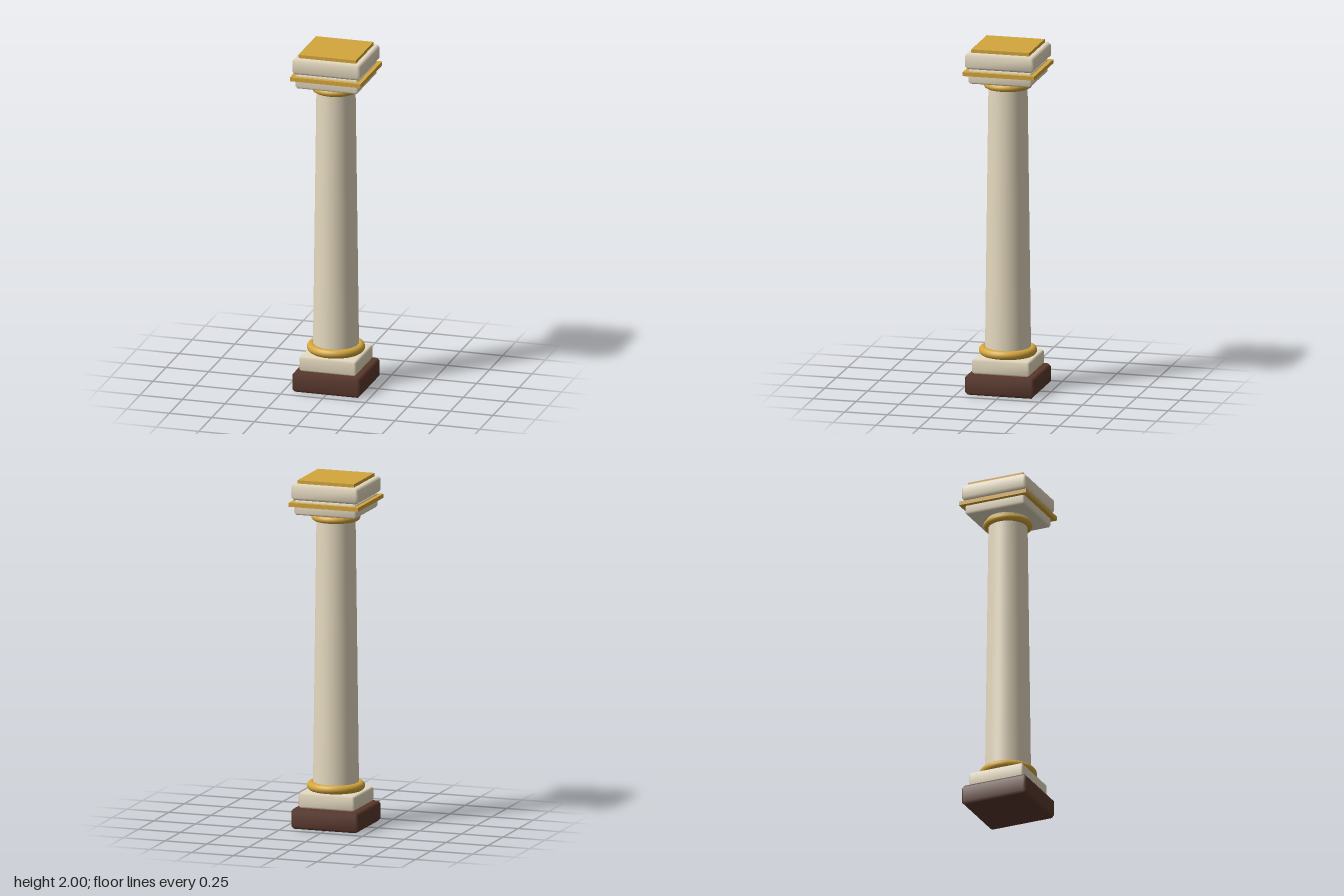
import * as THREE from 'three';
import { mergeVertices } from 'three/addons/utils/BufferGeometryUtils.js';
import { ConvexGeometry } from 'three/addons/geometries/ConvexGeometry.js';

const stone = new THREE.MeshStandardMaterial({ color: 0xe6dac0 });
const gold = new THREE.MeshStandardMaterial({ color: 0xd4a63c });
const wood = new THREE.MeshStandardMaterial({ color: 0x5a382c });

// Square block with chamfered edges and corners, shaded smoothly
function chamferedBlock(half, height, c) {
  const h = height / 2;
  const points = [];
  for (const x of [-1, 1]) for (const y of [-1, 1]) for (const z of [-1, 1]) {
    points.push(
      new THREE.Vector3(x * half, y * (h - c), z * (half - c)),
      new THREE.Vector3(x * (half - c), y * h, z * (half - c)),
      new THREE.Vector3(x * (half - c), y * (h - c), z * half)
    );
  }
  let geometry = new ConvexGeometry(points);
  geometry.deleteAttribute('normal');
  geometry = mergeVertices(geometry, 1e-5);
  geometry.computeVertexNormals();
  return geometry;
}

export function createModel() {
  const group = new THREE.Group();
  const add = (name, geometry, material, y) => {
    const mesh = new THREE.Mesh(geometry, material);
    mesh.name = name;
    mesh.position.y = y;
    group.add(mesh);
  };
  const block = (name, half, y0, y1, chamfer, material) =>
    add(name, chamferedBlock(half, y1 - y0, chamfer), material, (y0 + y1) / 2);
  const slab = (name, half, y0, y1) =>
    add(name, new THREE.BoxGeometry(half * 2, y1 - y0, half * 2), gold, (y0 + y1) / 2);
  const ring = (name, radius, tube, y) =>
    add(name, new THREE.TorusGeometry(radius, tube, 16, 64).rotateX(Math.PI / 2), gold, y);

  // Base
  block('plinth', 0.2, 0, 0.116, 0.015, wood);
  block('baseBlock', 0.167, 0.116, 0.203, 0.011, stone);
  ring('baseRing', 0.139, 0.025, 0.228);

  // Tapered shaft and neck
  add('shaft', new THREE.CylinderGeometry(0.11, 0.13, 1.59, 64), stone, 0.995);
  ring('neckRing', 0.118, 0.02, 1.772);
  add('neck', new THREE.CylinderGeometry(0.122, 0.118, 0.03, 64), stone, 1.791);

  // Capital
  block('capitalBlock', 0.184, 1.802, 1.888, 0.011, stone);
  slab('capitalBand', 0.208, 1.852, 1.875);
  block('abacus', 0.2, 1.889, 1.981, 0.015, stone);
  slab('topPlate', 0.169, 1.975, 2);

  return group;
}
